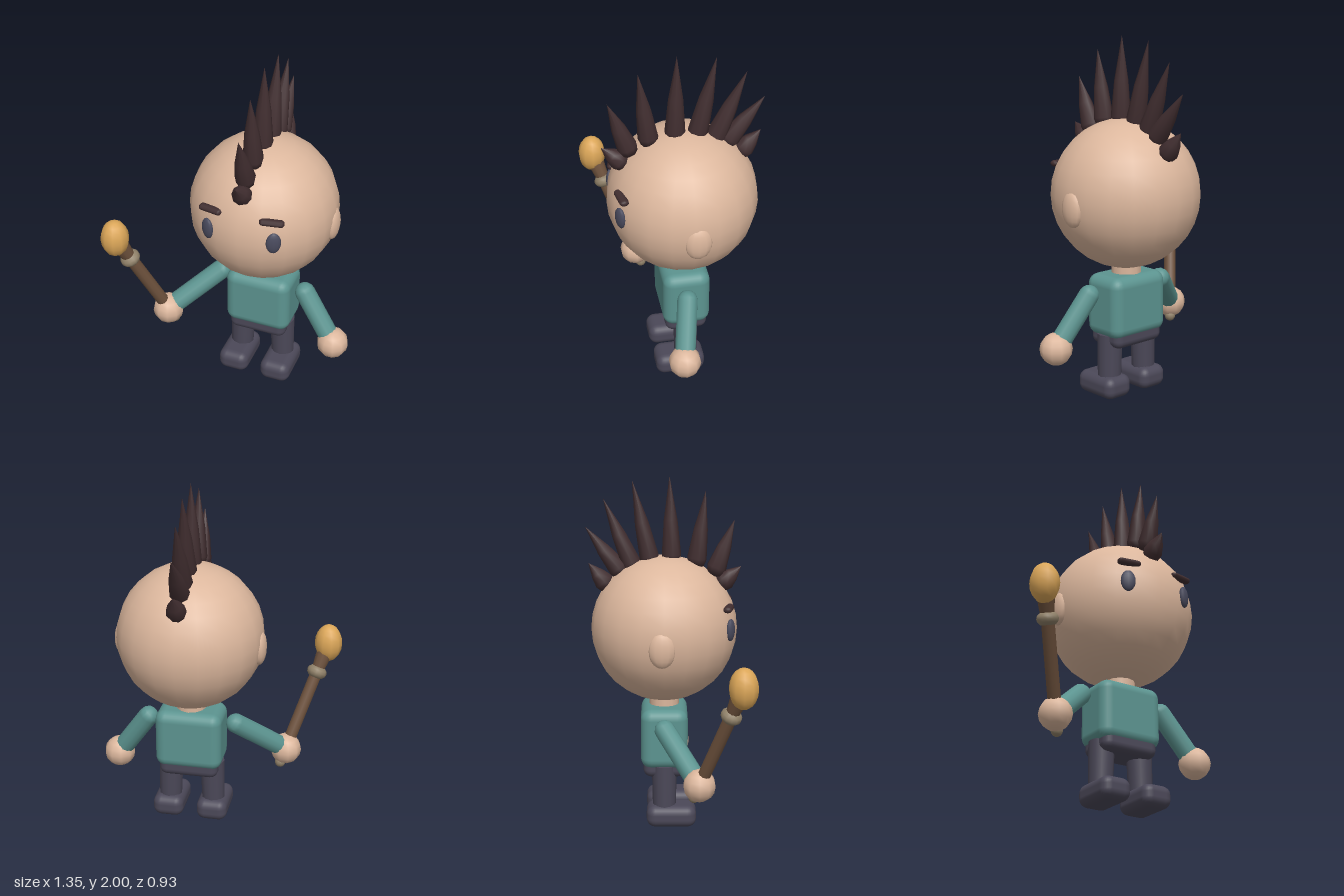
import * as THREE from 'three';
import { RoundedBoxGeometry } from 'three/addons/geometries/RoundedBoxGeometry.js';

const mat = (name, color) => {
  const m = new THREE.MeshStandardMaterial({ color });
  m.name = name;
  return m;
};
const v = (x, y, z) => new THREE.Vector3(x, y, z);

export function createModel() {
  const skin = mat('skin', 0xdcb79d);
  const teal = mat('teal shirt', 0x5c9490);
  const dark = mat('dark trousers', 0x4b4858);
  const hair = mat('dark brown hair', 0x412e30);
  const eyeMat = mat('slate eyes', 0x4a4b5e);
  const wood = mat('brown wood', 0x6e523d);
  const band = mat('olive tan band', 0x8f8068);
  const gold = mat('golden tip', 0xdba658);

  const model = new THREE.Group();
  model.name = 'mohawkFigure';
  const cx = 0.13, cz = -0.022; // body axis

  const add = (name, geo, material, x, y, z) => {
    const mesh = new THREE.Mesh(geo, material);
    mesh.name = name;
    mesh.position.set(x, y, z);
    model.add(mesh);
    return mesh;
  };
  const ellipsoid = (name, material, x, y, z, rx, ry, rz, ws = 12, hs = 10) => {
    const mesh = add(name, new THREE.SphereGeometry(1, ws, hs), material, x, y, z);
    mesh.scale.set(rx, ry, rz);
    return mesh;
  };
  // Puts a y-aligned geometry at a point and turns it towards a direction
  const aim = (mesh, dir) => {
    mesh.quaternion.setFromUnitVectors(v(0, 1, 0), dir.clone().normalize());
    return mesh;
  };
  const between = (name, a, b, geo, material) => {
    const mid = a.clone().lerp(b, 0.5);
    return aim(add(name, geo, material, mid.x, mid.y, mid.z), b.clone().sub(a));
  };

  // Head and neck
  ellipsoid('head', skin, cx, 1.14, cz, 0.415, 0.415, 0.415, 20, 16);
  add('neck', new THREE.CylinderGeometry(0.085, 0.085, 0.16, 12), skin, cx, 0.72, cz);

  // Face and ears, mirrored
  for (const s of [-1, 1]) {
    const side = s > 0 ? 'left' : 'right';
    ellipsoid(side + 'Ear', skin, cx + s * 0.392, 1.1, -0.035, 0.04, 0.1, 0.075);
    const eye = ellipsoid(side + 'Eye', eyeMat, cx + s * 0.187, 1.167, 0.346, 0.041, 0.063, 0.02);
    eye.rotation.y = s * 0.47;
    const browGeo = new THREE.CapsuleGeometry(0.018, 0.1, 4, 10);
    browGeo.rotateZ(Math.PI / 2);
    const brow = add(side + 'Brow', browGeo, hair, cx + s * 0.172, 1.287, 0.335);
    brow.scale.z = 1.4;
    brow.rotation.y = s * 0.17;
  }

  // Mohawk spikes: [base z, base y, tip z, tip y]
  const spikes = [
    [0.315, 1.405, 0.412, 1.495], [0.27, 1.48, 0.372, 1.757],
    [0.16, 1.53, 0.21, 1.918], [0.018, 1.55, 0.008, 2.0],
    [-0.105, 1.54, -0.2, 1.977], [-0.205, 1.505, -0.362, 1.876],
    [-0.275, 1.475, -0.464, 1.718], [-0.355, 1.4, -0.448, 1.512],
  ];
  for (const [bz, by, tz, ty] of spikes) {
    const dir = v(0, ty - by, tz - bz), len = dir.length();
    const profile = [[0, -0.05], [0.045, -0.03], [0.056, 0.01], [0.04, len * 0.45], [0, len]]
      .map(([r, y]) => new THREE.Vector2(r, y));
    aim(add('mohawkSpike', new THREE.LatheGeometry(profile, 9), hair, cx, by, bz), dir);
  }

  // Torso and hips
  add('torso', new RoundedBoxGeometry(0.385, 0.35, 0.268, 3, 0.06), teal, cx, 0.52, cz);
  add('hips', new RoundedBoxGeometry(0.34, 0.14, 0.24, 3, 0.045), dark, cx, 0.36, cz);

  // Legs and feet
  for (const s of [-1, 1]) {
    const side = s > 0 ? 'left' : 'right';
    between(side + 'Leg', v(cx + s * 0.129, 0.08, cz), v(cx + s * 0.122, 0.36, cz),
      new THREE.CylinderGeometry(0.072, 0.066, 0.28, 12), dark);
    add(side + 'Foot', new RoundedBoxGeometry(0.18, 0.127, 0.285, 3, 0.05), dark,
      cx + s * 0.13, 0.0635, 0.018);
  }

  // Arms with round hands
  const arm = (side, shoulder, hand) => {
    const len = shoulder.distanceTo(hand);
    between(side + 'Arm', hand, shoulder, new THREE.CapsuleGeometry(0.058, len, 4, 12), teal);
    ellipsoid(side + 'Hand', skin, hand.x, hand.y, hand.z, 0.091, 0.091, 0.091, 10, 8);
  };
  const grip = v(-0.395, 0.38, 0.167);
  arm('left', v(0.39, 0.6, -0.005), v(0.583, 0.325, 0.045));
  arm('right', v(-0.13, 0.61, -0.02), grip);

  // Torch: shaft, band, pommel and tip along one line
  const axis = v(-0.205, 0.6, 0.218);
  const along = t => grip.clone().addScaledVector(axis, t);
  const span = (name, t0, t1, r0, r1, material) => between(name, along(t0), along(t1),
    new THREE.CylinderGeometry(r1, r0, (t1 - t0) * axis.length(), 10), material);
  span('torchShaft', -0.12, 0.75, 0.036, 0.036, wood);
  span('torchCup', 0.74, 0.92, 0.036, 0.05, wood);
  const pm = along(-0.13);
  ellipsoid('torchPommel', band, pm.x, pm.y, pm.z, 0.032, 0.032, 0.032, 10, 8);
  const rg = along(0.73);
  aim(ellipsoid('torchBand', band, rg.x, rg.y, rg.z, 0.059, 0.042, 0.059, 12, 8), axis);
  const tp = along(1);
  ellipsoid('torchTip', gold, tp.x, tp.y + 0.002, tp.z, 0.08, 0.112, 0.08, 10, 10);

  return model;
}
